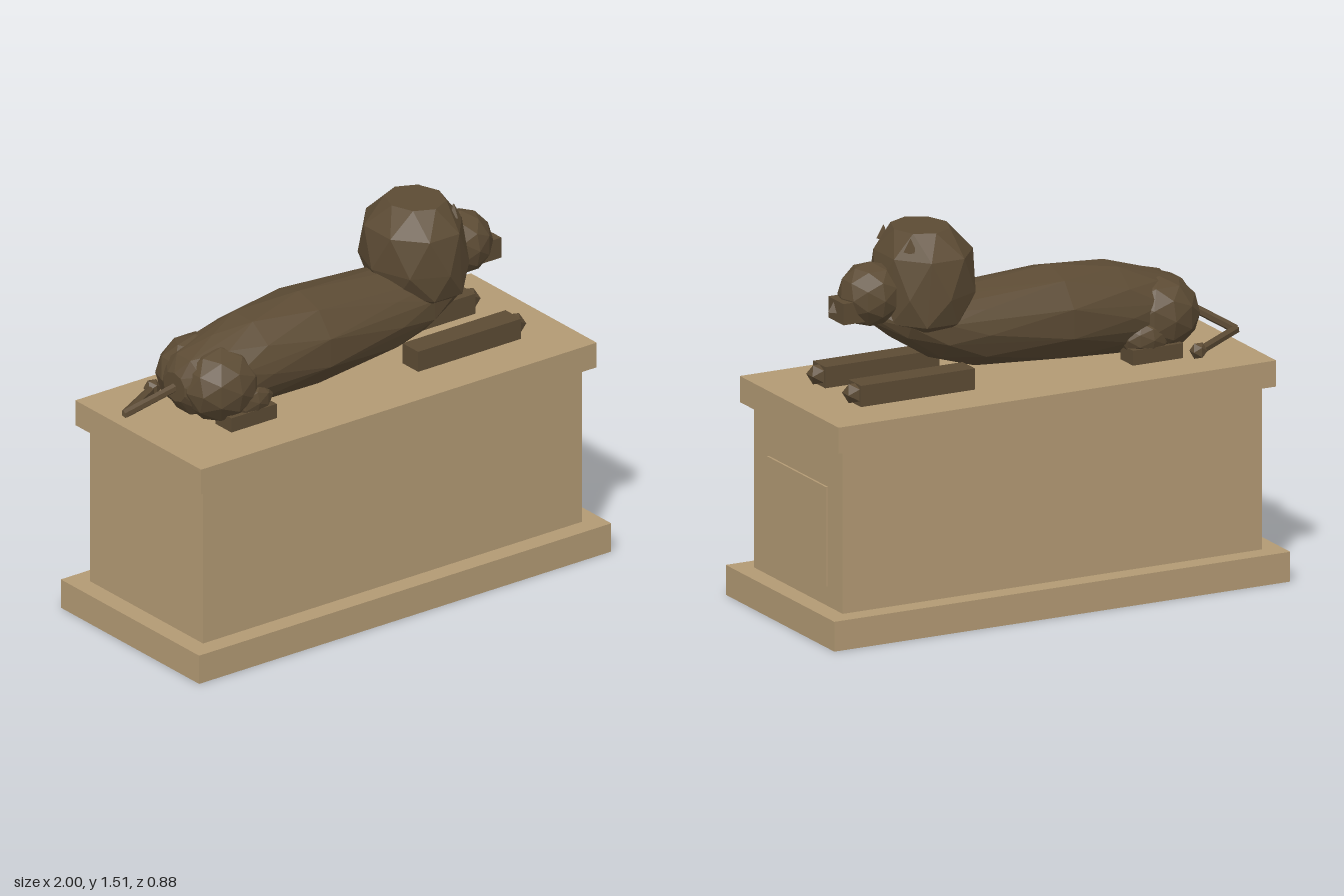
import * as THREE from 'three';
import { ConvexGeometry } from 'three/addons/geometries/ConvexGeometry.js';

export function createModel() {
  const model = new THREE.Group();
  const stone = new THREE.MeshStandardMaterial({ color: 0xb39a74, flatShading: true });
  stone.name = 'sandstone';
  const bronze = new THREE.MeshStandardMaterial({ color: 0x5c4b34, flatShading: true });
  bronze.name = 'bronze';

  function add(name, geometry, material, x = 0, y = 0, z = 0) {
    const mesh = new THREE.Mesh(geometry, material);
    mesh.name = name;
    mesh.position.set(x, y, z);
    model.add(mesh);
    return mesh;
  }
  // box given by its lower and upper corners
  function box(name, material, [x0, y0, z0], [x1, y1, z1]) {
    return add(name, new THREE.BoxGeometry(x1 - x0, y1 - y0, z1 - z0), material,
      (x0 + x1) / 2, (y0 + y1) / 2, (z0 + z1) / 2);
  }
  // faceted ellipsoid
  function lump(name, [x, y, z], [rx, ry, rz], detail = 1) {
    return add(name, new THREE.IcosahedronGeometry(1, detail).scale(rx, ry, rz), bronze, x, y, z);
  }
  // straight bar between two points
  function bar(name, a, b, radius) {
    const from = new THREE.Vector3(...a), to = new THREE.Vector3(...b);
    const dir = to.clone().sub(from);
    const mesh = add(name, new THREE.CylinderGeometry(radius, radius, dir.length(), 6), bronze);
    mesh.position.copy(from).add(to).multiplyScalar(0.5);
    mesh.quaternion.setFromUnitVectors(new THREE.Vector3(0, 1, 0), dir.normalize());
  }

  // pedestal
  box('plinthBase', stone, [-1, 0, -0.44], [1, 0.12, 0.44]);
  box('plinthShaft', stone, [-0.92, 0.12, -0.36], [0.92, 0.78, 0.36]);
  box('plinthCap', stone, [-0.96, 0.78, -0.4], [0.96, 0.885, 0.4]);
  box('plaque', stone, [0.92, 0.2, -0.24], [0.929, 0.6, 0.24]);

  // body: hull over upright rings [x, bottom, top, half width]
  const bodyPoints = [];
  [
    [-0.785, 0.98, 1.1, 0.07], [-0.74, 0.92, 1.16, 0.14], [-0.6, 0.9, 1.21, 0.18],
    [-0.45, 0.89, 1.255, 0.195], [-0.18, 0.897, 1.28, 0.215], [0.18, 0.93, 1.255, 0.195],
    [0.35, 0.98, 1.24, 0.18], [0.5, 1.07, 1.24, 0.14], [0.6, 1.15, 1.22, 0.05],
  ].forEach(([x, low, high, w], i) => {
    for (let k = 0; k < 10; k++) {
      const a = ((k + (i % 2) / 2) / 10) * Math.PI * 2;
      bodyPoints.push(new THREE.Vector3(x, (low + high) / 2 + Math.cos(a) * (high - low) / 2, Math.sin(a) * w));
    }
  });
  add('body', new ConvexGeometry(bodyPoints), bronze);

  // mane: hull over level rings [y, back x, front x, half width]
  const manePoints = [];
  [
    [1.515, 0.27, 0.5, 0.13], [1.42, 0.185, 0.56, 0.22], [1.27, 0.172, 0.58, 0.235],
    [1.16, 0.22, 0.57, 0.215], [1.08, 0.31, 0.46, 0.08],
  ].forEach(([y, back, front, w], i) => {
    for (let k = 0; k < 8; k++) {
      const a = ((k + (i % 2) / 2) / 8) * Math.PI * 2;
      manePoints.push(new THREE.Vector3((back + front) / 2 + Math.cos(a) * (front - back) / 2, y, Math.sin(a) * w));
    }
  });
  add('mane', new ConvexGeometry(manePoints), bronze);

  // face
  lump('face', [0.605, 1.27, 0], [0.127, 0.13, 0.125]);
  box('snout', bronze, [0.64, 1.18, -0.062], [0.755, 1.265, 0.062]);
  add('nose', new THREE.ConeGeometry(0.025, 0.04, 4), bronze, 0.765, 1.24, 0);

  // paired limbs and ears
  for (const s of [1, -1]) {
    add('ear', new THREE.ConeGeometry(0.028, 0.055, 5), bronze, 0.487, 1.477, s * 0.11);
    box('frontLeg', bronze, [0.25, 0.885, s * 0.145 - 0.05], [0.75, 0.97, s * 0.145 + 0.05]);
    lump('frontPaw', [0.752, 0.93, s * 0.145], [0.048, 0.045, 0.05], 0);
    lump('haunch', [-0.62, 1.04, s * 0.08], [0.165, 0.15, 0.14]);
    lump('hindThigh', [-0.53, 0.975, s * 0.13], [0.11, 0.08, 0.08]);
    box('hindFoot', bronze, [-0.66, 0.885, s * 0.15 - 0.05], [-0.44, 0.945, s * 0.15 + 0.05]);
  }

  // tail bent back along the pedestal
  bar('tailRoot', [-0.74, 1.06, 0.02], [-0.945, 0.935, -0.1], 0.018);
  bar('tailEnd', [-0.945, 0.935, -0.1], [-0.7, 0.918, -0.25], 0.018);
  lump('tailTuft', [-0.7, 0.922, -0.25], [0.035, 0.036, 0.035], 0);

  return model;
}
